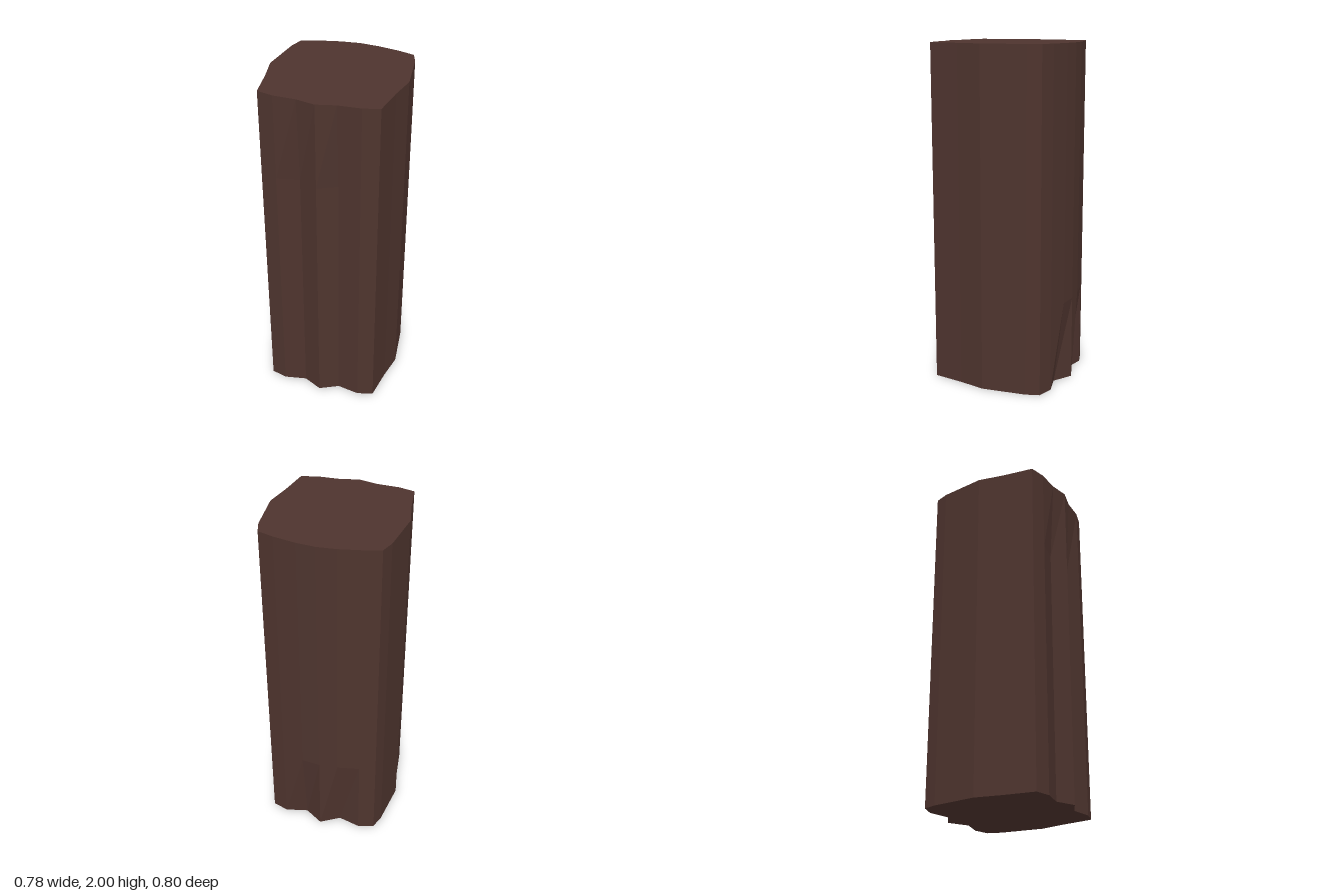
import * as THREE from 'three';

// Half outline at one level, from front centre round the +x side to back centre.
// frontGroove and backGroove set the depth of the shallow flutes beside each centre ridge.
function outline(y, frontGroove, backGroove) {
  const half = [
    [0, 0.4], [0.11, frontGroove], [0.24, 0.369], [0.333, 0.344],
    [0.36, 0.16], [0.392, 0.005], [0.36, -0.258], [0.333, -0.338],
    [0.24, -0.367], [0.11, backGroove], [0, -0.404],
  ];
  const mirrored = half.slice(1, -1).reverse().map(([x, z]) => [-x, z]);
  return [...half, ...mirrored].map(([x, z]) => new THREE.Vector3(x, y, z));
}

// Skin stacked loops and close both ends with fans
function loft(loops) {
  const points = [];
  const n = loops[0].length;
  const tri = (...corners) => corners.forEach((p) => points.push(p));
  for (let i = 0; i < n; i++) {
    const j = (i + 1) % n;
    for (let k = 0; k < loops.length - 1; k++) {
      const low = loops[k], high = loops[k + 1];
      tri(low[i], low[j], high[j]);
      tri(low[i], high[j], high[i]);
    }
    const base = loops[0], top = loops[loops.length - 1];
    tri(new THREE.Vector3(0, base[0].y, 0), base[j], base[i]);
    tri(new THREE.Vector3(0, top[0].y, 0), top[i], top[j]);
  }
  const geometry = new THREE.BufferGeometry().setFromPoints(points);
  geometry.computeVertexNormals();
  return geometry;
}

export function createModel() {
  const group = new THREE.Group();
  group.name = 'flutedPillar';
  const brown = new THREE.MeshStandardMaterial({ color: 0x4e342e });
  brown.name = 'dark brown';
  brown.flatShading = true;

  // Front flutes fade out near the top, back flutes begin only near the base
  const shaft = new THREE.Mesh(loft([
    outline(0, 0.345, -0.335),
    outline(0.5, 0.345, -0.394),
    outline(1.5, 0.345, -0.394),
    outline(2, 0.374, -0.394),
  ]), brown);
  shaft.name = 'shaft';
  group.add(shaft);
  return group;
}
